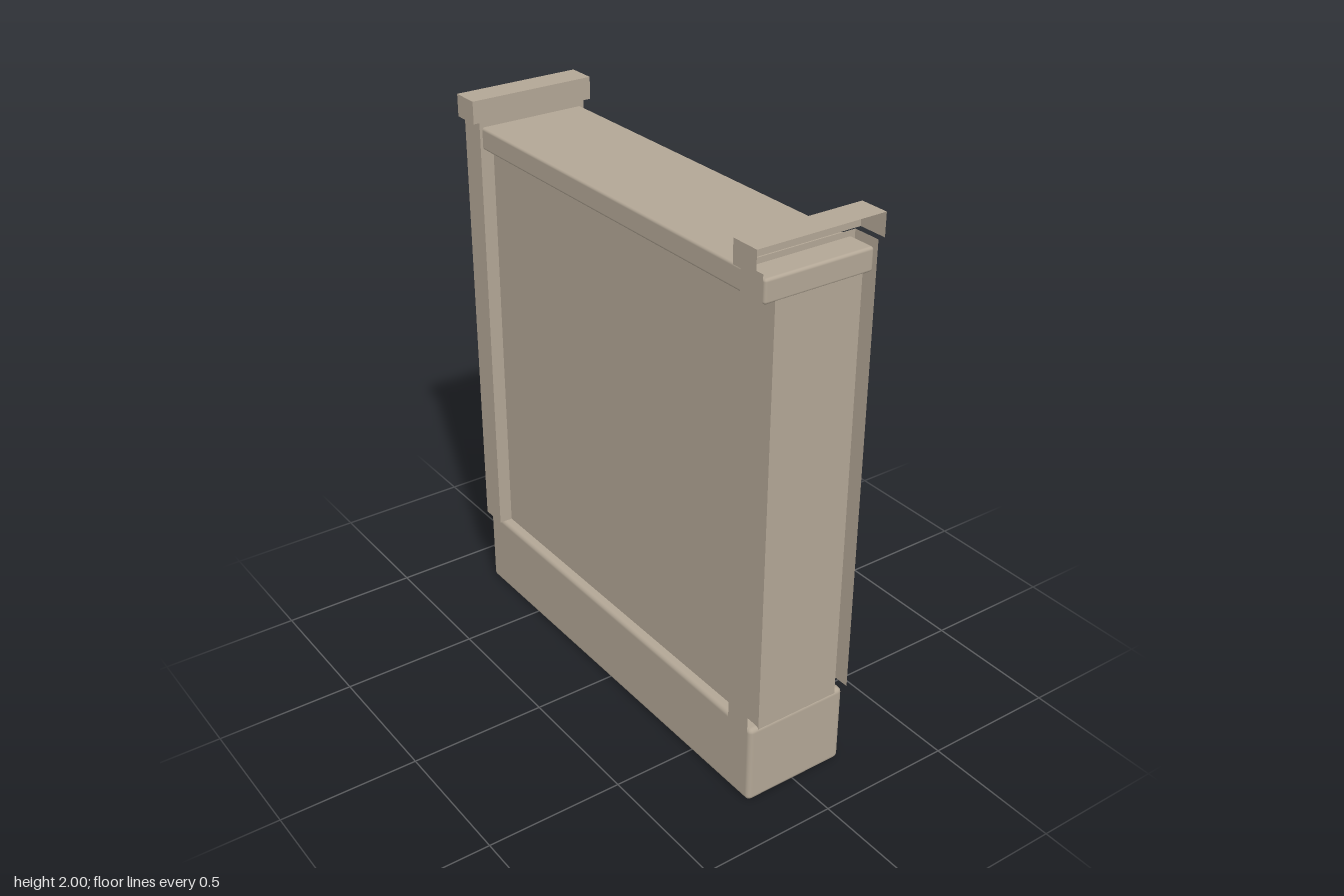
import * as THREE from 'three';
import { RoundedBoxGeometry } from 'three/addons/geometries/RoundedBoxGeometry.js';

const COLOR = 0xb3a796;
const solid = new THREE.MeshStandardMaterial({ color: COLOR });
const sheet = new THREE.MeshStandardMaterial({ color: COLOR, side: THREE.DoubleSide });

// Box faces in index order
const FACES = { px: 0, nx: 1, py: 2, ny: 3, pz: 4, nz: 5 };

// Box shell of thin sheets with some faces left open
function openBox(w, h, d, open) {
  const geometry = new THREE.BoxGeometry(w, h, d);
  const skip = open.map((name) => FACES[name]);
  const index = Array.from(geometry.index.array);
  geometry.clearGroups();
  geometry.setIndex(index.filter((_, i) => !skip.includes(Math.floor(i / 6))));
  return geometry;
}

function addPart(group, name, geometry, material, x, y, z) {
  const mesh = new THREE.Mesh(geometry, material);
  mesh.name = name;
  mesh.position.set(x, y, z);
  group.add(mesh);
}

export function createModel() {
  const model = new THREE.Group();
  model.name = 'wallSegment';

  // Plinth with softened edges
  addPart(model, 'base', new RoundedBoxGeometry(1.645, 0.3, 0.395, 2, 0.018), solid, 0, 0.15, 0);

  // Flat wall slab running the full length
  addPart(model, 'wallPanel', new THREE.BoxGeometry(1.64, 1.54, 0.325), solid, 0, 1.06, 0);

  // Rail along the top of the slab
  addPart(model, 'topRail', new RoundedBoxGeometry(1.644, 0.08, 0.405, 2, 0.01), solid, 0, 1.86, 0);

  // End pillars and caps, open on the outer end where the next segment joins
  for (const side of [1, -1]) {
    const outer = side > 0 ? 'px' : 'nx';
    const prefix = side > 0 ? 'left' : 'right';
    addPart(model, prefix + 'Pillar', openBox(0.1, 1.62, 0.425, [outer, 'py', 'ny']),
      sheet, side * 0.774, 1.11, 0);
    addPart(model, prefix + 'Cap', openBox(0.105, 0.08, 0.475, [outer, 'ny']),
      sheet, side * 0.7715, 1.96, 0);
  }
  return model;
}
